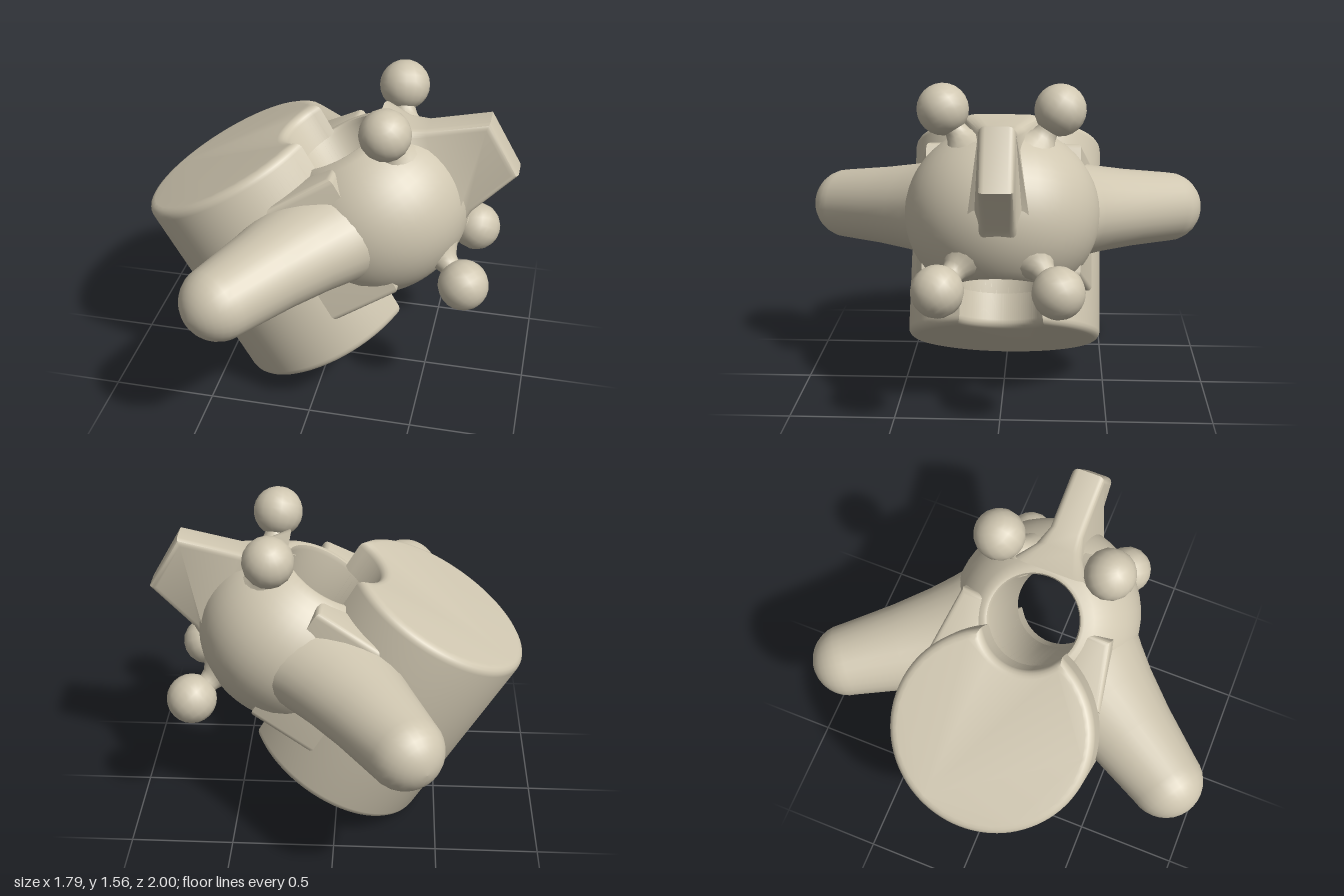
import * as THREE from 'three';
import { toCreasedNormals } from 'three/addons/utils/BufferGeometryUtils.js';

const clay = new THREE.MeshStandardMaterial({ color: 0xcfc6b0 });
clay.name = 'warm grey';

const BORE_X = 0.53; // axis of the bore, which is also the body's axis
const BORE_R = 0.212;
const v2 = (x, y) => new THREE.Vector2(x, y);

function addPart(parent, name, geometry) {
  const mesh = new THREE.Mesh(geometry, clay);
  mesh.name = name;
  parent.add(mesh);
  return mesh;
}

// Turns an object's y axis along a direction, keeping its x axis square to the lean
function aim(object, from, dir) {
  const y = dir.clone().normalize();
  const x = new THREE.Vector3(0.5, 0.866, 0).cross(y).normalize();
  const z = x.clone().cross(y);
  object.position.copy(from);
  object.quaternion.setFromRotationMatrix(new THREE.Matrix4().makeBasis(x, y, z));
}

// Moves every vertex of a geometry by a rule
function bend(geometry, rule) {
  const pos = geometry.attributes.position;
  const p = new THREE.Vector3();
  for (let i = 0; i < pos.count; i++) {
    rule(p.fromBufferAttribute(pos, i));
    pos.setXYZ(i, p.x, p.y, p.z);
  }
  geometry.computeVertexNormals();
  return geometry;
}

// Bevelled plate whose thickness is centred on zero
function plate(shape, thickness, bevel, curveSegments = 12) {
  const geometry = new THREE.ExtrudeGeometry(shape, {
    depth: thickness - 2 * bevel, bevelEnabled: true, bevelSize: bevel,
    bevelThickness: bevel, bevelSegments: 4, curveSegments,
  });
  return geometry.translate(0, 0, -thickness / 2 + bevel);
}

// Drum: a round block with a groove that continues the bore
function drumGeometry() {
  const bevel = 0.04, R = 0.48 - bevel, r = BORE_R + bevel;
  const x = (R * R - r * r + BORE_X * BORE_X) / (2 * BORE_X);
  const y = Math.sqrt(R * R - x * x);
  const a = Math.atan2(y, x), b = Math.atan2(y, x - BORE_X);
  const shape = new THREE.Shape();
  shape.absarc(0, 0, R, a, 2 * Math.PI - a, false);
  shape.absarc(BORE_X, 0, r, 2 * Math.PI - b, b, true);
  const geometry = plate(shape, 1.03, bevel, 40).rotateX(-Math.PI / 2).translate(0, -0.015, 0);
  return toCreasedNormals(geometry, 0.7);
}

// Body: a flattened ball with a bore through it
function bodyGeometry() {
  const limit = 1.03, top = 0.35, bottom = -0.38;
  const points = [v2(BORE_R, bottom + 0.02), v2(BORE_R + 0.008, bottom)];
  for (let i = 0; i <= 18; i++) {
    const t = -limit + (2 * limit * i) / 18;
    points.push(v2(0.46 * Math.cos(t), 0.425 * Math.sin(t) - 0.02));
  }
  points.push(v2(BORE_R + 0.008, top - 0.01), v2(BORE_R, top - 0.03), v2(BORE_R, bottom + 0.02));
  return toCreasedNormals(new THREE.LatheGeometry(points, 48), 0.9);
}

// Shoulder: fills the gap between drum and body beside the bore
function shoulderGeometry() {
  const outline = [v2(0.25, 0.25), v2(0.53, 0.25), v2(0.53, 0.345), v2(0.25, 0.4)];
  const geometry = plate(new THREE.Shape(outline), 0.66, 0.03).rotateX(-Math.PI / 2);
  return toCreasedNormals(geometry, 0.8);
}

// Arm: a tapered limb, broader than tall at its root, with a rounded end
function armGeometry(length) {
  const tip = 0.177;
  const points = [v2(0.29, 0.28), v2(0.26, 0.4), v2(0.235, 0.52), v2(0.205, 0.72)];
  for (let i = 0; i <= 8; i++) {
    const t = (i / 8) * Math.PI / 2;
    points.push(v2(tip * Math.cos(t), length + tip * Math.sin(t)));
  }
  return bend(new THREE.LatheGeometry(points, 28), p => {
    const root = Math.max(0, 1 - p.y / length);
    p.x *= 1 + 0.18 * root;
    p.z *= 1 - 0.2 * root;
  });
}

// Fin: a bevelled plate that widens and thickens towards the body
function finGeometry() {
  const side = [v2(0.79, 0.33), v2(0.86, 0.255), v2(0.95, 0.205), v2(1.212, 0.125)];
  const outline = [...side.map(p => v2(p.x, -p.y)), ...side.slice().reverse()];
  const geometry = plate(new THREE.Shape(outline), 0.16, 0.03);
  bend(geometry, p => {
    const root = Math.max(0, (0.97 - p.x) / 0.18);
    p.z *= 1 + 1.1 * root * root;
  });
  return toCreasedNormals(geometry, 0.8);
}

// Stem: a short neck from a flared foot up to the ball
function stemGeometry() {
  const points = [v2(0.12, -0.205), v2(0.085, -0.17), v2(0.06, -0.14), v2(0.052, -0.115), v2(0.05, -0.08)];
  return new THREE.LatheGeometry(points, 16);
}

export function createModel() {
  const model = new THREE.Group();
  model.name = 'drumWithArms';

  // Everything leans back by 30 degrees, with the drum at the origin
  const leaning = new THREE.Group();
  leaning.name = 'leaningAssembly';
  leaning.rotation.z = Math.PI / 6;
  leaning.position.set(-0.245, 0.677, 0);
  model.add(leaning);

  addPart(leaning, 'drum', drumGeometry());
  addPart(leaning, 'boredBody', bodyGeometry()).position.x = BORE_X;
  addPart(leaning, 'fin', finGeometry()).position.y = 0.022;

  const centre = new THREE.Vector3(BORE_X, 0, 0);
  for (const side of [1, -1]) {
    const end = side > 0 ? 'front' : 'back';

    const shoulder = addPart(leaning, end + 'Shoulder', shoulderGeometry());
    if (side > 0) shoulder.rotation.x = Math.PI;

    const reach = new THREE.Vector3(0.004, 0.17, 0.822 * side).sub(centre);
    aim(addPart(leaning, end + 'Arm', armGeometry(reach.length())), centre, reach);

    // Knobs on short flared stems, above and below the fin
    for (const up of [1, -1]) {
      const knob = new THREE.Group();
      knob.name = end + (up > 0 ? 'Upper' : 'Lower') + 'Knob';
      addPart(knob, 'ball', new THREE.SphereGeometry(0.12, 16, 12));
      addPart(knob, 'stem', stemGeometry());
      const at = new THREE.Vector3(up > 0 ? 0.855 : 0.82, up > 0 ? 0.385 : -0.455, 0.268 * side);
      aim(knob, at, new THREE.Vector3(0.33, 0.79 * up, 0.53 * side));
      leaning.add(knob);
    }
  }
  return model;
}
